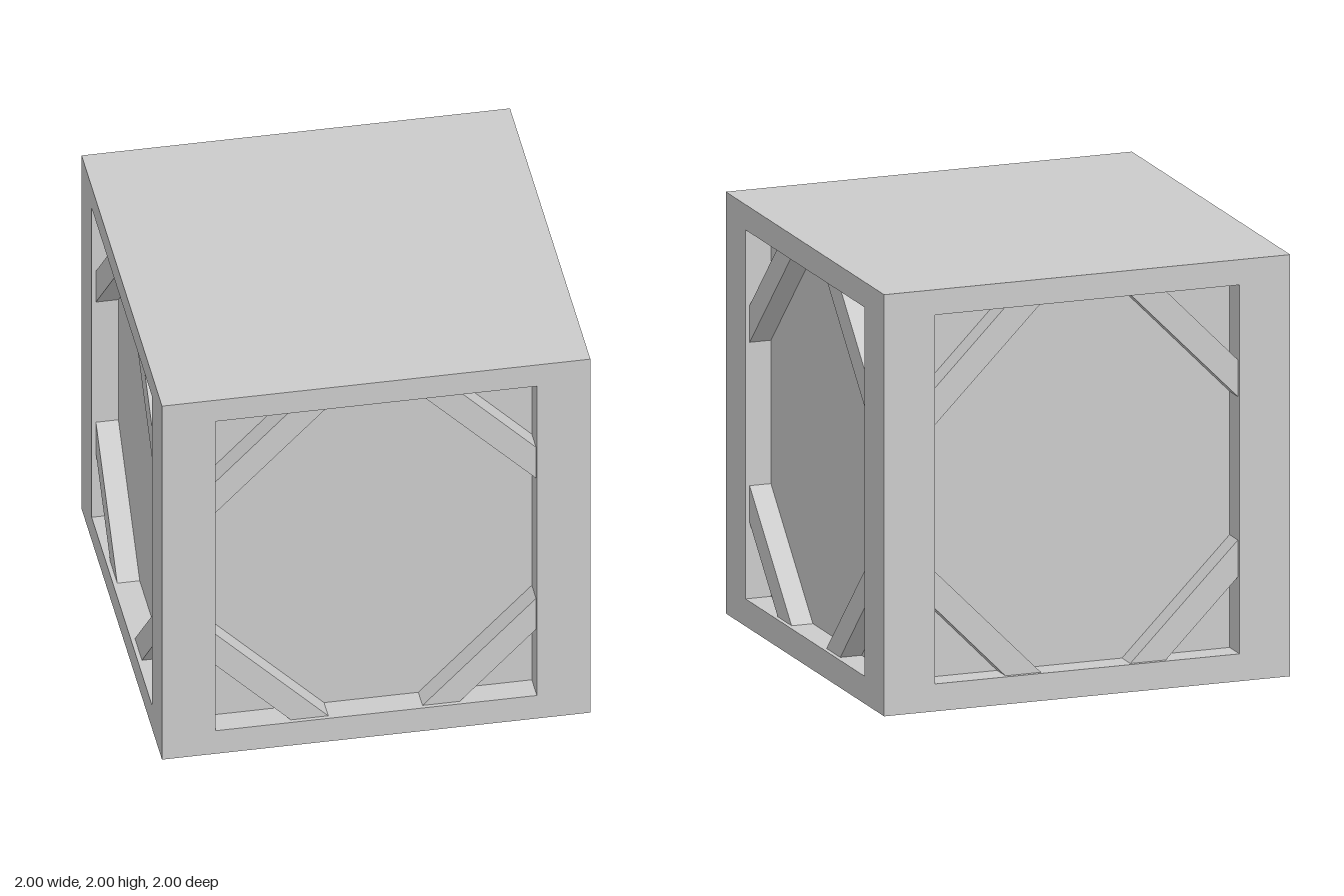
import * as THREE from 'three';

const BOTTOM = 0.13, TOP = 1.88, MID = (BOTTOM + TOP) / 2;
const OPEN = 0.75;    // half width of each side opening
const PANEL = 0.875;  // distance of the recessed panels from the centre
const FRONT = 0.98;   // distance of the brace faces from the centre

export function createModel() {
  const crate = new THREE.Group();
  crate.name = 'crate';
  const material = new THREE.MeshStandardMaterial({ color: 0xcccccc, flatShading: true });

  const add = (parent, name, geometry, x = 0, y = 0, z = 0) => {
    const mesh = new THREE.Mesh(geometry, material);
    mesh.name = name;
    mesh.position.set(x, y, z);
    parent.add(mesh);
    return mesh;
  };

  // Solid lid and base
  add(crate, 'lid', new THREE.BoxGeometry(2, 2 - TOP, 2), 0, (2 + TOP) / 2, 0);
  add(crate, 'base', new THREE.BoxGeometry(2, BOTTOM, 2), 0, BOTTOM / 2, 0);

  // Recessed side panels, one inner box
  add(crate, 'sidePanels', new THREE.BoxGeometry(PANEL * 2, TOP - BOTTOM, PANEL * 2), 0, MID, 0);

  // Square corner posts
  const post = new THREE.BoxGeometry(1 - OPEN, TOP - BOTTOM, 1 - OPEN);
  const postAt = (1 + OPEN) / 2;
  for (const x of [-1, 1]) {
    for (const z of [-1, 1]) add(crate, 'cornerPost', post, x * postAt, MID, z * postAt);
  }

  // Diagonal brace, mitred against post and rail; sx and sy choose the corner
  const braceGeometry = (sx, sy) => {
    const h = (TOP - BOTTOM) / 2;
    const points = [[OPEN, 0.515], [OPEN, 0.34], [0.22, h], [0.395, h]]
      .map(([x, y]) => new THREE.Vector2(x * sx, y * sy));
    return new THREE.ExtrudeGeometry(new THREE.Shape(points), {
      depth: FRONT - PANEL, bevelEnabled: false,
    });
  };

  // Four braces on each of the four sides
  for (let i = 0; i < 4; i++) {
    const side = new THREE.Group();
    side.name = 'sideBraces';
    side.rotation.y = i * Math.PI / 2;
    for (const sx of [-1, 1]) {
      for (const sy of [-1, 1]) {
        add(side, sy > 0 ? 'upperBrace' : 'lowerBrace', braceGeometry(sx, sy), 0, MID, PANEL);
      }
    }
    crate.add(side);
  }
  return crate;
}
